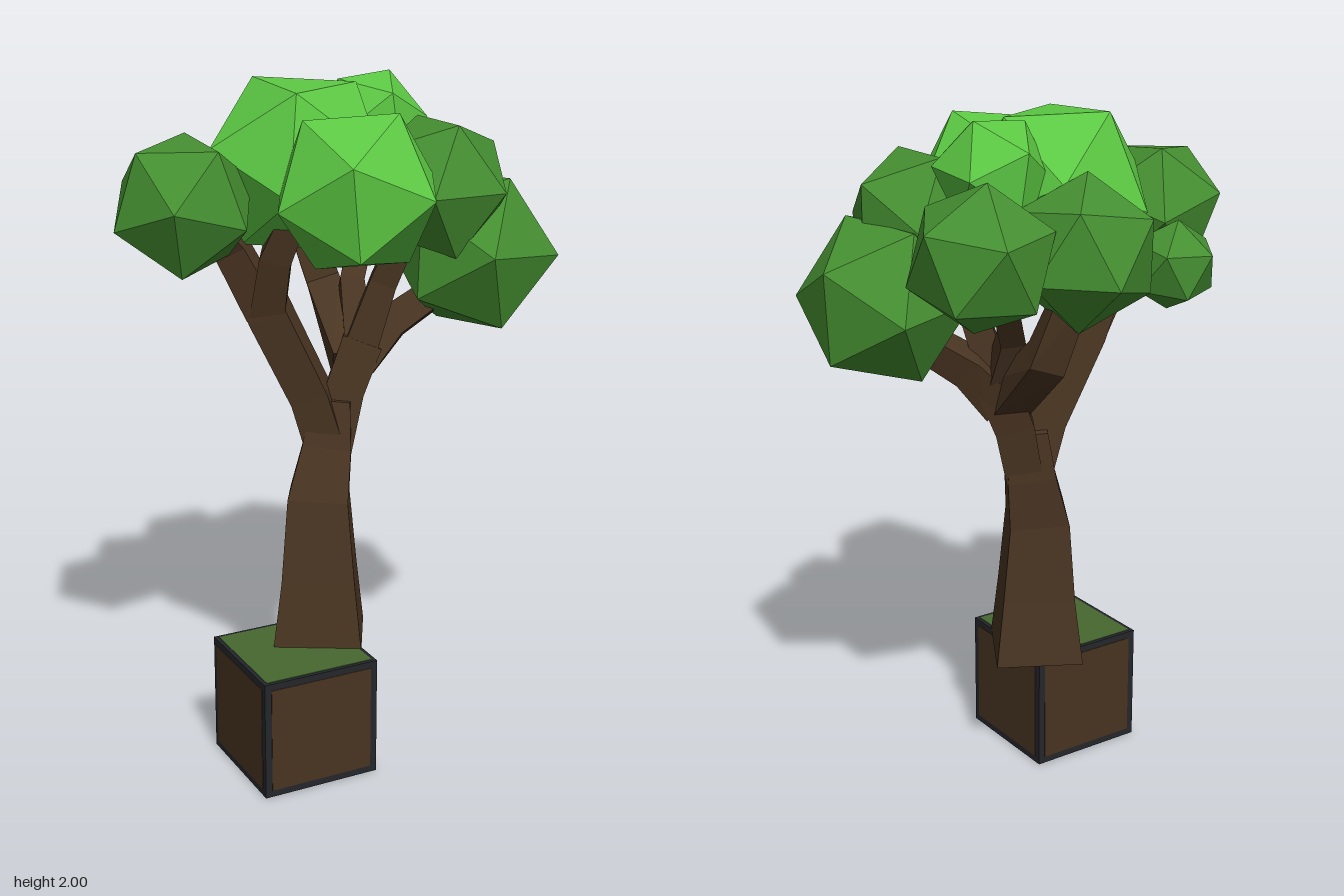
import * as THREE from 'three';

const mat = (name, color, flatShading = false) => {
  const m = new THREE.MeshStandardMaterial({ color, flatShading });
  m.name = name;
  return m;
};

// Four-sided limb lofted along nodes [x, y, z, radius], with flat facets and end caps
function limbGeometry(nodes) {
  const pts = nodes.map(n => new THREE.Vector3(n[0], n[1], n[2]));
  const ref = new THREE.Vector3(0.27, 0, 0.96);
  const rings = pts.map((p, k) => {
    const t = pts[Math.min(k + 1, pts.length - 1)].clone().sub(pts[Math.max(k - 1, 0)]).normalize();
    const u = ref.clone().addScaledVector(t, -ref.dot(t)).normalize();
    const v = t.clone().cross(u);
    return [0, 1, 2, 3].map(i => p.clone()
      .addScaledVector(u, Math.cos(i * Math.PI / 2) * nodes[k][3])
      .addScaledVector(v, Math.sin(i * Math.PI / 2) * nodes[k][3]));
  });
  const out = [];
  const quad = (a, b, c, d) => out.push(a, b, c, a, c, d);
  for (let k = 0; k < rings.length - 1; k++) {
    for (let i = 0; i < 4; i++) {
      const j = (i + 1) % 4;
      quad(rings[k][i], rings[k][j], rings[k + 1][j], rings[k + 1][i]);
    }
  }
  const s = rings[0], e = rings[rings.length - 1];
  quad(s[3], s[2], s[1], s[0]);
  quad(e[0], e[1], e[2], e[3]);
  const g = new THREE.BufferGeometry().setFromPoints(out);
  g.computeVertexNormals();
  return g;
}

// Rotation frame with one axis along a and a second leaning toward b
function frame(a, b) {
  const x = a.clone().normalize();
  const y = b.clone().addScaledVector(x, -b.dot(x)).normalize();
  return new THREE.Matrix4().makeBasis(x, y, x.clone().cross(y));
}

// Icosahedron turned so one corner points along a and a neighbouring corner toward b
function leafGeometry(radius, a, b) {
  const t = (1 + Math.sqrt(5)) / 2;
  const own = frame(new THREE.Vector3(-1, t, 0), new THREE.Vector3(1, t, 0));
  const turn = frame(new THREE.Vector3(...a), new THREE.Vector3(...b)).multiply(own.transpose());
  return new THREE.IcosahedronGeometry(radius, 0).applyMatrix4(turn);
}

export function createModel() {
  const model = new THREE.Group();
  model.name = 'tree';
  const bark = mat('bark', 0x4a3522, true);
  const soil = mat('soil', 0x483421);
  const edge = mat('darkEdge', 0x25262b);
  const grass = mat('grass', 0x466830);
  const lightLeaf = mat('lightLeaf', 0x5cc843, true);
  const darkLeaf = mat('darkLeaf', 0x458f31, true);
  const add = (parent, name, geometry, material) => {
    const m = new THREE.Mesh(geometry, material);
    m.name = name;
    parent.add(m);
    return m;
  };

  // Soil block with dark edges and a thin panel on every face
  const block = new THREE.Group();
  block.name = 'soilBlock';
  block.position.set(-0.163, 0.181, 0.116);
  model.add(block);
  const size = 0.359;
  add(block, 'blockFrame', new THREE.BoxGeometry(size, size, size), edge);
  const panels = [
    ['frontPanel', 0, 0], ['leftPanel', 0, Math.PI / 2], ['backPanel', 0, Math.PI],
    ['rightPanel', 0, -Math.PI / 2], ['bottomPanel', Math.PI / 2, 0], ['grassTop', -Math.PI / 2, 0],
  ];
  for (const [name, rx, ry] of panels) {
    const top = name === 'grassTop';
    const w = top ? 0.336 : 0.318;
    const g = new THREE.BoxGeometry(w, w, 0.003).translate(0, 0, size / 2);
    add(block, name, g, top ? grass : soil).rotation.set(rx, ry, 0);
  }

  // Trunk and branches
  const limbs = {
    trunk: [[-0.04, 0.35, 0.035, 0.183], [-0.036, 0.55, 0.03, 0.151], [-0.033, 0.79, 0.02, 0.124],
      [0, 0.94, 0.01, 0.1], [0.015, 1.08, 0.005, 0.08]],
    leftBranch: [[0.0, 0.93, 0.01, 0.08], [-0.05, 1.1, 0, 0.078], [-0.165, 1.35, -0.03, 0.08],
      [-0.2, 1.45, -0.04, 0.075]],
    leftOuterTwig: [[-0.18, 1.36, -0.03, 0.07], [-0.27, 1.54, -0.05, 0.062], [-0.38, 1.66, -0.03, 0.05]],
    leftInnerTwig: [[-0.17, 1.34, -0.03, 0.07], [-0.17, 1.52, 0.03, 0.062], [-0.13, 1.68, 0.1, 0.05]],
    rightBranch: [[0.015, 0.9, 0.01, 0.075], [0.06, 1.1, 0.005, 0.08], [0.115, 1.24, 0.01, 0.083]],
    rightLowTwig: [[0.1, 1.18, 0.01, 0.08], [0.2, 1.29, 0.03, 0.066], [0.38, 1.42, 0.09, 0.055]],
    rightHighTwig: [[0.1, 1.2, 0.01, 0.07], [0.16, 1.42, 0.05, 0.055], [0.22, 1.62, 0.11, 0.05]],
    backLowTwig: [[0.08, 1.18, 0.0, 0.075], [0.11, 1.36, -0.23, 0.07], [0.06, 1.58, -0.3, 0.06]],
    backHighTwig: [[0.11, 1.22, 0.0, 0.06], [0.13, 1.39, -0.09, 0.05], [0.24, 1.58, -0.2, 0.05]],
  };
  for (const [name, nodes] of Object.entries(limbs)) add(model, name, limbGeometry(nodes), bark);

  // Leaf clusters: name, centre, radius, corner direction, neighbouring corner direction
  const leaves = [
    ['leftLeaves', [-0.432, 1.683, 0.005], 0.208, [-0.18, -0.05, 0], [-0.08, 0.02, 0.19], darkLeaf],
    ['frontLeaves', [-0.06, 1.735, 0.298], 0.24, [0.08, 0.2, 0.07], [0.08, 0.155, -0.175], lightLeaf],
    ['crownLeaves', [-0.075, 1.767, -0.017], 0.275, [-0.08, 0.235, -0.14], [-0.08, 0.21, 0.145], lightLeaf],
    ['smallCrownLeaves', [0.18, 1.85, -0.077], 0.165, [0.07, 0.14, -0.02], [-0.02, 0.06, -0.14], lightLeaf],
    ['rightFrontLeaves', [0.272, 1.7, 0.147], 0.216, [0, 1.618, -1], [0, 1.618, 1], darkLeaf],
    ['rightLowLeaves', [0.415, 1.5, 0.113], 0.25, [0.205, 0.105, -0.06], [0.07, -0.025, -0.235], darkLeaf],
    ['rightBackLeaves', [0.337, 1.67, -0.257], 0.208, [0, 0.2, -0.035], [0.04, 0.08, -0.18], darkLeaf],
    ['backLeaves', [0.035, 1.655, -0.291], 0.215, [-0.14, 0.12, -0.175], [0.035, -0.07, -0.21], darkLeaf],
    ['smallBackLeaves', [-0.25, 1.59, -0.315], 0.13, [0, 0.12, -0.02], [-0.12, 0.06, 0], darkLeaf],
  ];
  for (const [name, centre, radius, a, b, material] of leaves) {
    add(model, name, leafGeometry(radius, a, b), material).position.set(...centre);
  }
  return model;
}
